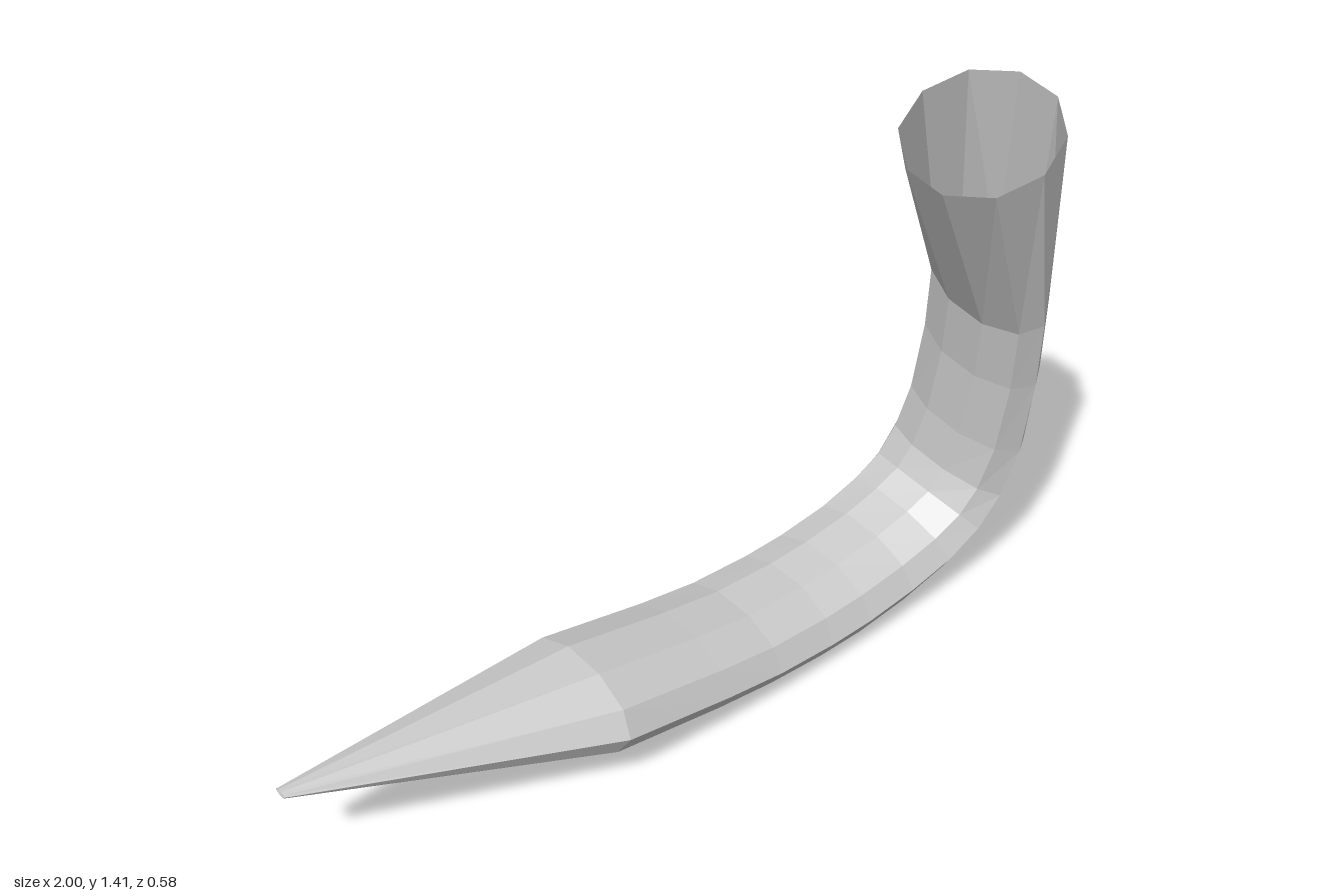
import * as THREE from 'three';

const SIDES = 10;

// Cross-sections from pointed tip to open mouth:
// outer edge x, y | inner edge x, y | centre z | half width | rise of the back edge
const SECTIONS = [
  [-1.0, 0.265, -1.0, 0.279, -0.183, 0.017, 0.0],
  [-0.31, 0.1, -0.28, 0.285, -0.092, 0.182, 0.012],
  [0.0, 0.045, 0.01, 0.225, -0.098, 0.18, 0.012],
  [0.17, 0.02, 0.18, 0.195, -0.104, 0.18, 0.012],
  [0.34, 0.004, 0.36, 0.185, -0.11, 0.18, 0.012],
  [0.48, 0.004, 0.48, 0.19, -0.112, 0.18, 0.012],
  [0.64, 0.025, 0.62, 0.21, -0.112, 0.178, 0.015],
  [0.79, 0.075, 0.72, 0.243, -0.107, 0.178, 0.02],
  [0.9, 0.165, 0.78, 0.285, -0.095, 0.178, 0.024],
  [0.97, 0.285, 0.81, 0.35, -0.078, 0.178, 0.028],
  [0.997, 0.45, 0.82, 0.47, -0.047, 0.177, 0.03],
  [0.975, 0.7, 0.81, 0.66, -0.008, 0.175, 0.032],
  [0.935, 0.91, 0.78, 0.83, 0.025, 0.173, 0.033],
  [0.855, 1.4, 0.51, 1.28, 0.107, 0.177, 0.035],
];

// Ten-sided ring with a corner on each width end and a flat on the inner and outer side
function ring([ox, oy, ix, iy, z, width, rise]) {
  const centre = new THREE.Vector3((ox + ix) / 2, (oy + iy) / 2, z);
  const across = new THREE.Vector3(0, rise, -width);
  const inward = new THREE.Vector3((ix - ox) / 2, (iy - oy) / 2, 0)
    .divideScalar(Math.cos(Math.PI / SIDES));
  return Array.from({ length: SIDES }, (_, j) => {
    const a = (j / SIDES) * Math.PI * 2;
    return centre.clone()
      .addScaledVector(across, Math.cos(a))
      .addScaledVector(inward, Math.sin(a));
  });
}

// Joins successive rings into an open-ended skin
function loft(rings) {
  const positions = rings.flat().flatMap((p) => p.toArray());
  const index = [];
  for (let i = 0; i < rings.length - 1; i++) {
    for (let j = 0; j < SIDES; j++) {
      const k = (j + 1) % SIDES;
      const a = i * SIDES + j, b = i * SIDES + k;
      const c = b + SIDES, d = a + SIDES;
      index.push(a, b, c, a, c, d);
    }
  }
  const geometry = new THREE.BufferGeometry();
  geometry.setAttribute('position', new THREE.Float32BufferAttribute(positions, 3));
  geometry.setIndex(index);
  geometry.computeVertexNormals();
  return geometry;
}

export function createModel() {
  const group = new THREE.Group();
  group.name = 'curvedHook';
  const material = new THREE.MeshStandardMaterial({
    color: 0xcccccc, flatShading: true, side: THREE.DoubleSide,
  });

  // Hollow hook: tapered point, flattened bend and flared round mouth
  const hook = new THREE.Mesh(loft(SECTIONS.map(ring)), material);
  hook.name = 'hookShell';
  group.add(hook);
  return group;
}
